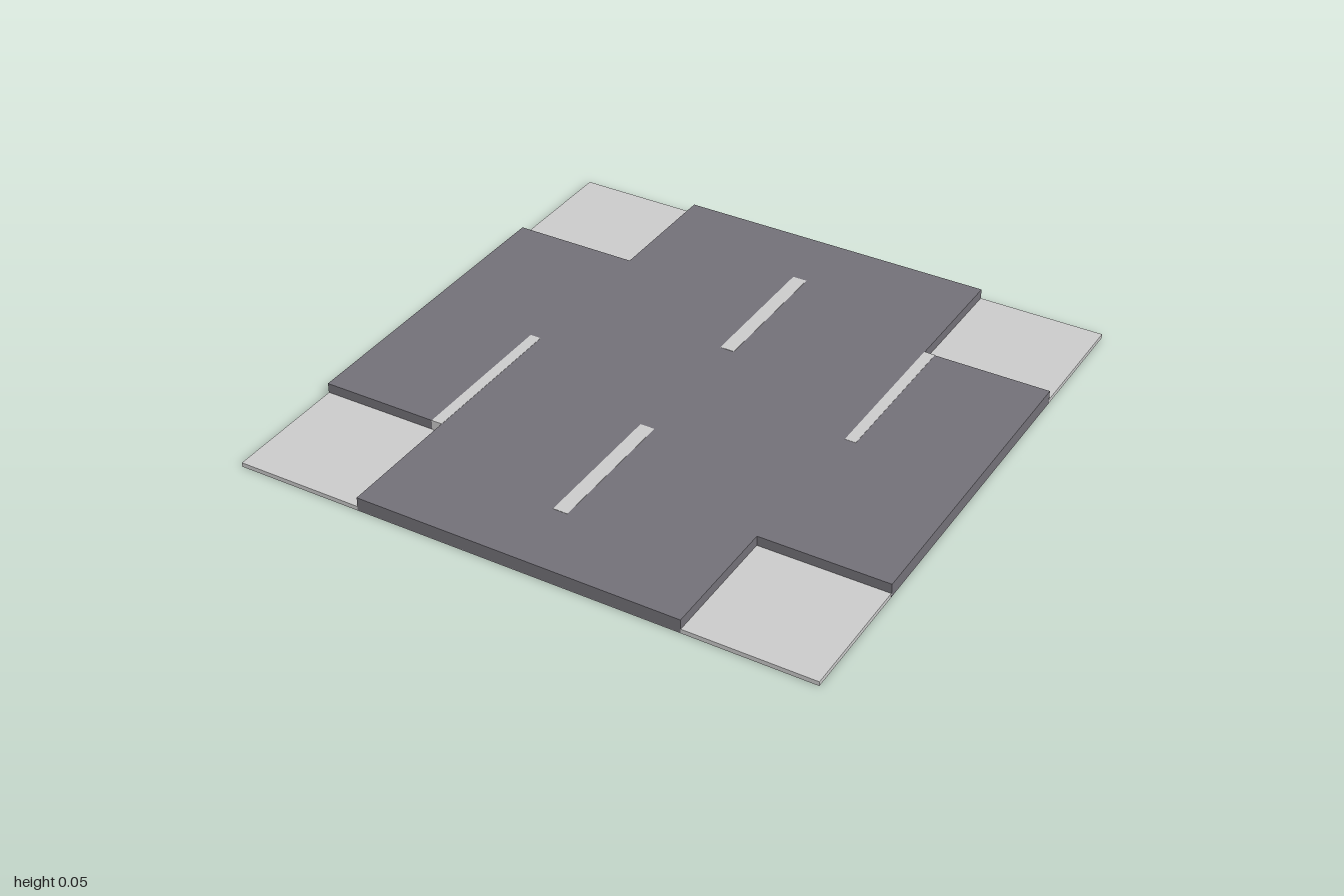
import * as THREE from 'three';

export function createModel() {
  const group = new THREE.Group();
  const grey = new THREE.MeshStandardMaterial({ color: 0xcccccc });
  const asphalt = new THREE.MeshStandardMaterial({ color: 0x737178 });

  // Box spanning x0..x1, y0..y1, z0..z1
  const addBox = (name, [x0, x1], [y0, y1], [z0, z1]) => {
    const mesh = new THREE.Mesh(new THREE.BoxGeometry(x1 - x0, y1 - y0, z1 - z0), grey);
    mesh.position.set((x0 + x1) / 2, (y0 + y1) / 2, (z0 + z1) / 2);
    mesh.name = name;
    group.add(mesh);
  };

  const arm = 0.56, edge = 1, roadTop = 0.049, markTop = 0.05;

  // Thin ground slab, a hair inside the road ends
  addBox('groundSlab', [-0.999, 0.999], [0, 0.015], [-0.999, 0.999]);

  // Cross-shaped road
  const cross = new THREE.Shape([
    [arm, edge], [-arm, edge], [-arm, arm], [-edge, arm],
    [-edge, -arm], [-arm, -arm], [-arm, -edge], [arm, -edge],
    [arm, -arm], [edge, -arm], [edge, arm], [arm, arm],
  ].map(([x, y]) => new THREE.Vector2(x, y)));
  const bottom = 0.003;
  const roadGeometry = new THREE.ExtrudeGeometry(cross, { depth: roadTop - bottom, bevelEnabled: false });
  roadGeometry.rotateX(-Math.PI / 2).translate(0, bottom, 0);
  const road = new THREE.Mesh(roadGeometry, asphalt);
  road.name = 'road';
  group.add(road);

  // Centre dashes and stop lines
  const markY = [0.015, markTop];
  addBox('frontCentreDash', [-0.025, 0.025], markY, [0.25, 0.75]);
  addBox('backCentreDash', [-0.025, 0.025], markY, [-0.75, -0.25]);
  addBox('rightStopLine', [-0.597, -0.559], markY, [0, arm + 0.001]);
  addBox('leftStopLine', [0.559, 0.597], markY, [-arm - 0.001, 0]);

  return group;
}
